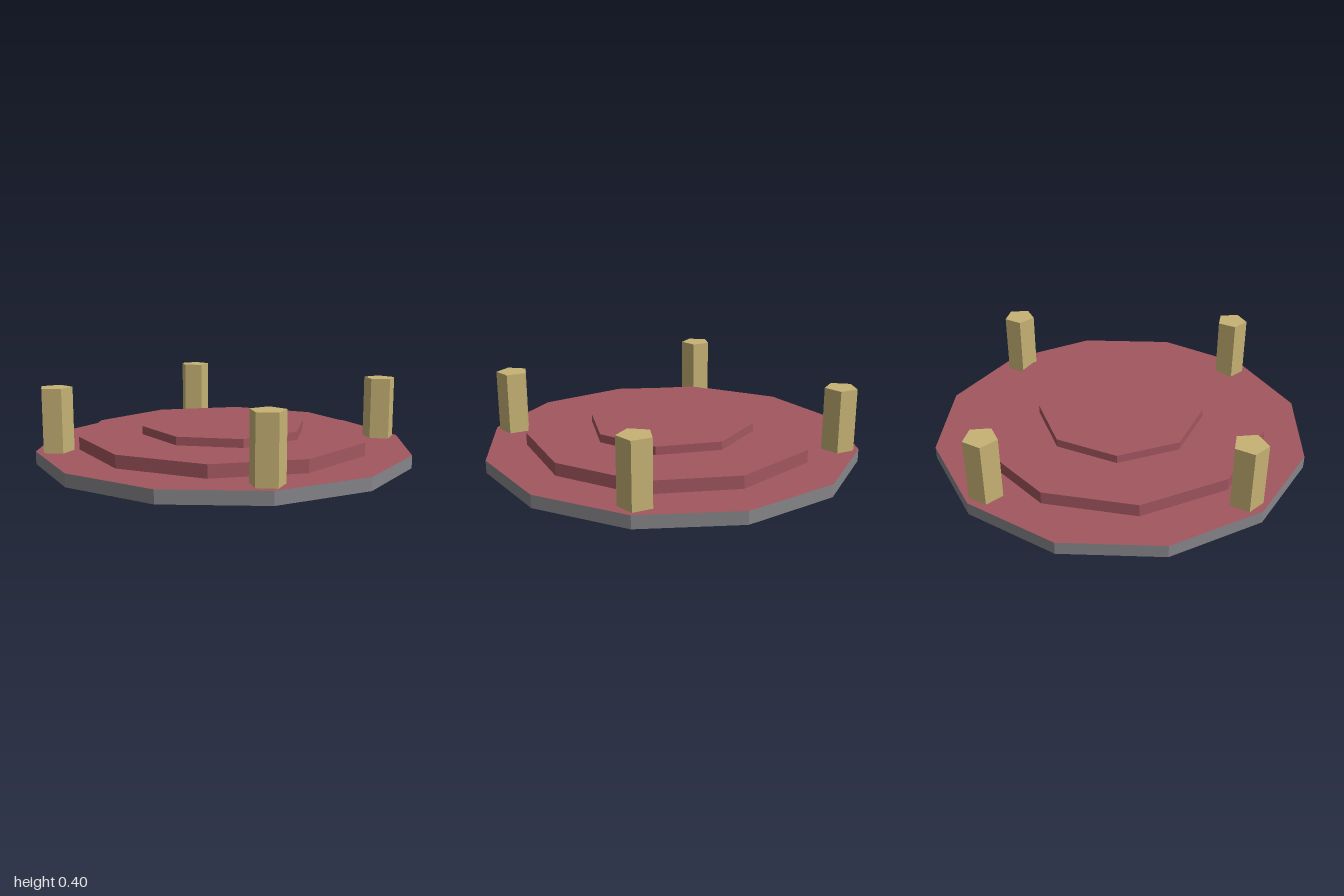
import * as THREE from 'three';

const mat = (color) => new THREE.MeshStandardMaterial({ color, flatShading: true });

// Upright prism standing between two heights, first corner at angle start from +z
function prism(name, radius, sides, y0, y1, material, start = 0) {
  const geometry = new THREE.CylinderGeometry(radius, radius, y1 - y0, sides, 1, false, start);
  const mesh = new THREE.Mesh(geometry, material);
  mesh.name = name;
  mesh.position.y = (y0 + y1) / 2;
  return mesh;
}

export function createModel() {
  const group = new THREE.Group();
  group.name = 'platform';
  const stone = mat(0x86868a);
  const red = mat(0xa2565f);
  const gold = mat(0xc6b274);

  // Twelve-sided base: grey rim and underside, red top
  group.add(prism('base', 1, 12, 0, 0.067, [stone, red, stone]));

  // Stepped tiers
  group.add(prism('lowerTier', 0.777, 10, 0.067, 0.134, red, Math.PI / 2));
  group.add(prism('upperTier', 0.444, 8, 0.134, 0.178, red));

  // Four five-sided posts, all pointing towards +x
  const posts = [['leftPost', 1, 0], ['rightPost', -1, 0], ['frontPost', 0, 1], ['backPost', 0, -1]];
  for (const [name, x, z] of posts) {
    const post = prism(name, 0.087, 5, 0.067, 0.4, gold, Math.PI / 2);
    post.position.x = x * 0.889;
    post.position.z = z * 0.889;
    group.add(post);
  }
  return group;
}
